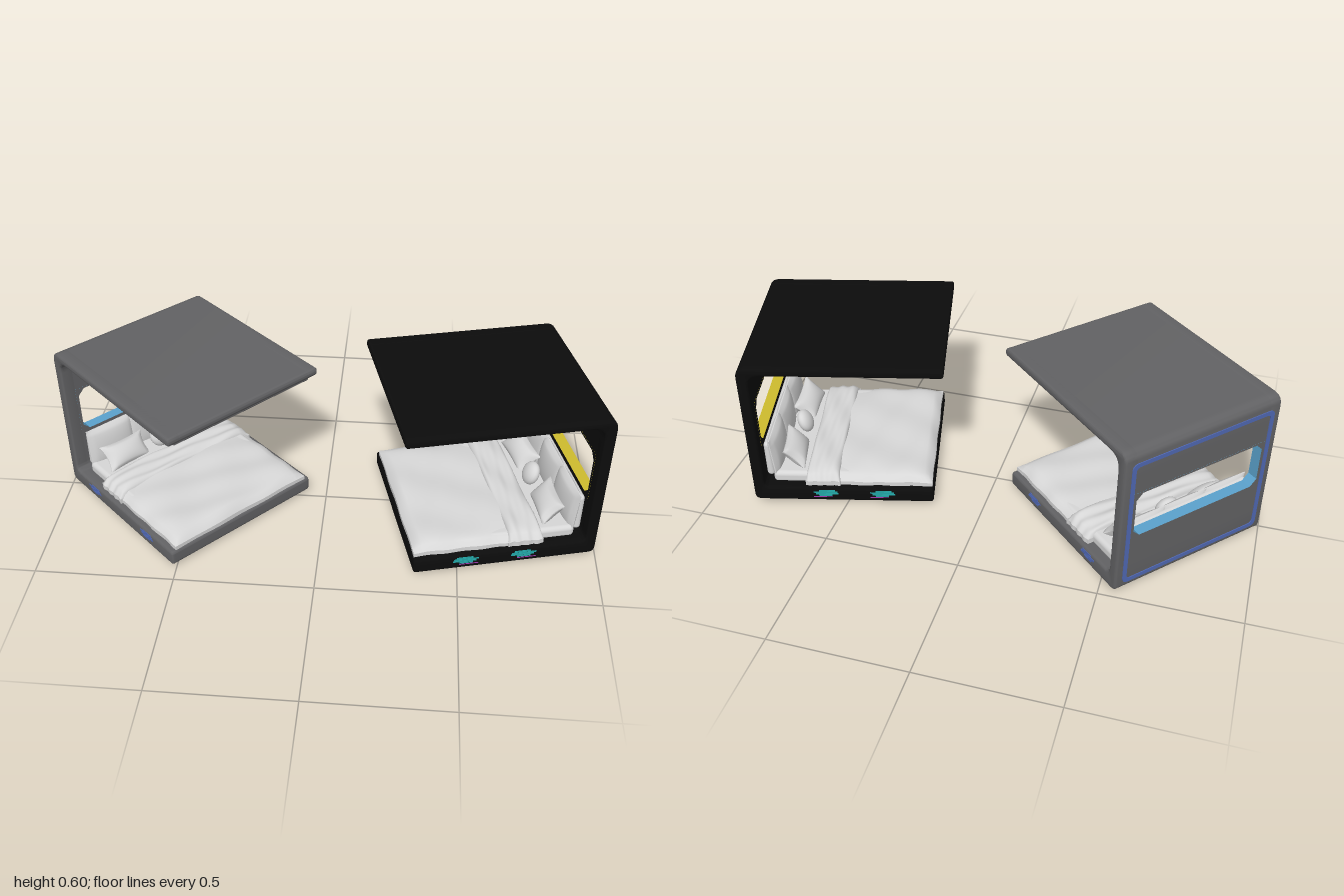
import * as THREE from 'three';
import { toCreasedNormals } from 'three/addons/utils/BufferGeometryUtils.js';
import { RoundedBoxGeometry } from 'three/addons/geometries/RoundedBoxGeometry.js';

const mat = (name, color) => {
  const m = new THREE.MeshStandardMaterial({ color });
  m.name = name;
  return m;
};

function add(group, name, geometry, material, x = 0, y = 0, z = 0) {
  const mesh = new THREE.Mesh(geometry, material);
  mesh.name = name;
  mesh.position.set(x, y, z);
  group.add(mesh);
  return mesh;
}

// polygon with corners rounded by the third value of each point
function roundedPoly(points, Type = THREE.Shape) {
  const s = new Type();
  points.forEach(([x, y, r = 0], i) => {
    const p = new THREE.Vector2(x, y);
    const prev = new THREE.Vector2(...points.at(i - 1));
    const next = new THREE.Vector2(...points[(i + 1) % points.length]);
    const a = p.clone().add(prev.sub(p).setLength(r));
    const b = p.clone().add(next.sub(p).setLength(r));
    if (i) s.lineTo(a.x, a.y); else s.moveTo(a.x, a.y);
    if (r) s.quadraticCurveTo(x, y, b.x, b.y);
  });
  s.closePath();
  return s;
}

const rect = (hw, y0, y1, r) => [[-hw, y0, r], [hw, y0, r], [hw, y1, r], [-hw, y1, r]];

// octagon: rectangle with cut corners
const octagon = (hw, y0, y1, c) => [
  [-hw + c, y0], [hw - c, y0], [hw, y0 + c], [hw, y1 - c],
  [hw - c, y1], [-hw + c, y1], [-hw, y1 - c], [-hw, y0 + c]];

// side profile (z, y) extruded across the width
function slab(points, width, bevel = 0) {
  const g = new THREE.ExtrudeGeometry(roundedPoly(points), {
    depth: width - 2 * bevel, curveSegments: 8, bevelEnabled: bevel > 0,
    bevelSize: bevel, bevelThickness: bevel, bevelOffset: -bevel, bevelSegments: 3 });
  g.translate(0, 0, -width / 2 + bevel).rotateY(-Math.PI / 2);
  return toCreasedNormals(g, 0.6);
}

// cushion: thick in the middle, pinched at the rim, with pointed corners
function cushion(w, h, t, pinch = 0.14) {
  const g = new THREE.BoxGeometry(2, 2, 2, 14, 14, 1);
  const p = g.attributes.position;
  for (let i = 0; i < p.count; i++) {
    const u = p.getX(i), v = p.getY(i);
    const thick = Math.pow(Math.max(0, (1 - u * u) * (1 - v * v)), 0.45);
    p.setXYZ(i, w / 2 * u * (1 - pinch * (1 - v * v)),
      h / 2 * v * (1 - pinch * (1 - u * u)), p.getZ(i) * (t / 2 * thick + 0.002));
  }
  g.computeVertexNormals();
  return g;
}

// cloth: soft slab with sagging rim and gentle ripples, bottom at y = 0
function cloth(w, d, h, ripple) {
  const g = new THREE.BoxGeometry(2, 1, 2, 32, 3, 28);
  const p = g.attributes.position;
  for (let i = 0; i < p.count; i++) {
    const u = p.getX(i), v = p.getZ(i), k = p.getY(i) + 0.5;
    const fall = 0.35 + 0.65 * Math.pow(Math.max(0, (1 - u ** 8) * (1 - v ** 8)), 0.5);
    const wave = ripple * (Math.sin(u * 7 + v * 3) + Math.sin(v * 8 - u * 4));
    const edge = 1 + ripple * 2 * Math.sin(u * 9 + v * 11);
    p.setXYZ(i, w / 2 * u * edge, k * (h * fall + wave * fall), d / 2 * v * edge);
  }
  g.computeVertexNormals();
  return g;
}

const W = 0.645, BACK = -0.363, INNER = -0.323, TIP = 0.363, FOOT = 0.31;
const SILL = 0.236, HEAD = 0.424, HALF = 0.269;

function createPod(name, c) {
  const pod = new THREE.Group();
  pod.name = name;

  // shell: full C profiles at both sides, base and roof between them
  const base = [[INNER, 0.07, 0.025], [FOOT, 0.07, 0.012], [FOOT, 0.012, 0.012], [BACK, 0.012, 0.025]];
  const roof = [[BACK, 0.6, 0.04], [TIP, 0.6, 0.012], [TIP, 0.57, 0.012], [INNER, 0.57, 0.05]];
  const sideW = W / 2 - HALF;
  for (const s of [-1, 1]) {
    add(pod, 'shellSide', slab([...base, ...roof], sideW, 0.008), c.body, s * (W / 2 - sideW / 2));
  }
  const mid = W - 0.024;
  const midWall = HALF * 2 + 0.02;
  add(pod, 'baseDeck', slab([...base, [BACK, 0.12], [INNER, 0.12]], mid), c.body);
  add(pod, 'roofPanel', slab([[BACK, 0.5], ...roof, [INNER, 0.5]], mid), c.body);
  for (const [y0, y1] of [[0.12, SILL], [HEAD, 0.5]]) {
    add(pod, 'backWall', new THREE.BoxGeometry(midWall, y1 - y0, INNER - BACK), c.body,
      0, (y0 + y1) / 2, (BACK + INNER) / 2);
  }

  // window lining with coloured reveal
  const lining = roundedPoly(rect(HALF + 0.008, SILL - 0.004, HEAD + 0.004, 0));
  lining.holes.push(roundedPoly(octagon(HALF - 0.003, SILL + 0.003, HEAD - 0.003, 0.025), THREE.Path));
  add(pod, 'windowLining', new THREE.ExtrudeGeometry(lining,
    { depth: INNER - BACK + 0.001, bevelEnabled: false }), [c.body, c.reveal], 0, 0, BACK - 0.0005);

  // inset plinth with glowing rim
  add(pod, 'plinth', new THREE.BoxGeometry(W - 0.05, 0.012, FOOT - BACK - 0.05),
    [c.strip, c.strip, c.body, c.body, c.strip, c.strip], 0, 0.006, (FOOT + BACK) / 2);

  // lamp bar below the roof edge
  add(pod, 'lampBar', new RoundedBoxGeometry(W - 0.06, 0.018, 0.055, 2, 0.005), c.body, 0, 0.564, 0.322);
  add(pod, 'lampStrip', new THREE.BoxGeometry(W - 0.08, 0.004, 0.04), c.lamp, 0, 0.554, 0.322);

  // striped lights on both sides of the base
  for (const s of [-1, 1]) for (const z of c.lights) {
    [0.05, 0.085, 0.09, 0.06].forEach((len, i) => add(pod, 'sideLight',
      new THREE.BoxGeometry(0.003, 0.006, len * c.lightScale), c.light,
      s * W / 2, 0.037 + i * 0.0075, z + (i % 2) * 0.006));
    if (c.accent) {
      add(pod, 'sideAccent', new THREE.BoxGeometry(0.003, 0.003, 0.07), c.accent, s * W / 2, 0.03, z - 0.01);
    }
  }

  // rectangular light frame on the rear
  if (c.rearFrame) {
    const frame = roundedPoly(rect(0.295, 0.04, 0.555, 0.025));
    frame.holes.push(roundedPoly(rect(0.279, 0.056, 0.539, 0.018), THREE.Path));
    add(pod, 'rearFrame', new THREE.ExtrudeGeometry(frame, { depth: 0.004, bevelEnabled: false }),
      c.strip, 0, 0, BACK - 0.003);
  }

  // bed
  const bed = new THREE.Group();
  bed.name = 'bed';
  pod.add(bed);
  add(bed, 'mattress', new RoundedBoxGeometry(0.56, 0.05, 0.57, 3, 0.018), c.linen, 0, 0.083, -0.01);
  add(bed, 'duvet', cloth(0.6, 0.44, 0.046, 0.003), c.linen, 0, 0.07, 0.085);
  add(bed, 'foldedBlanket', cloth(0.61, 0.13, 0.056, 0.003), c.linen, 0, 0.07, -0.105);
  add(bed, 'headboard', new RoundedBoxGeometry(0.54, 0.15, 0.03, 4, 0.014), c.linen, 0, 0.16, -0.305);
  for (let i = -1; i <= 1; i++) {
    const pad = add(bed, 'headboardPad', cushion(0.2, 0.17, 0.05, 0), c.linen, i * 0.175, 0.16, -0.29);
    pad.rotation.x = -0.08;
  }
  for (const s of [-1, 1]) {
    const pillow = add(bed, 'pillow', cushion(0.2, 0.11, 0.065), c.linen, s * 0.155, 0.135, -0.225);
    pillow.rotation.set(-0.75, s * -0.12, 0);
  }
  const round = add(bed, 'roundCushion', new THREE.SphereGeometry(0.045, 20, 14), c.linen, 0, 0.145, -0.215);
  round.scale.z = 0.6;
  round.rotation.x = -0.4;
  return pod;
}

export function createModel() {
  const model = new THREE.Group();
  model.name = 'sleepingPods';
  const linen = mat('linen', 0xd6d6d6);
  const teal = mat('tealLight', 0x22a5a5);
  const blue = mat('blueLight', 0x5068b4);
  const yellow = mat('yellowLight', 0xcdbb2e);

  const grey = createPod('greyPod', {
    body: mat('greyShell', 0x626264), reveal: mat('skyBlueReveal', 0x5ba2cc), strip: blue,
    lamp: teal, light: blue, lights: [-0.2, 0.145], lightScale: 0.85, rearFrame: true, linen });
  grey.position.set(-0.515, 0, -0.005);
  grey.rotation.y = 0.815;

  const black = createPod('blackPod', {
    body: mat('blackShell', 0x0c0c0c), reveal: yellow, strip: yellow, lamp: teal, light: teal,
    lights: [-0.095, 0.118], lightScale: 1, accent: mat('magentaLight', 0x9a35a8), linen });
  black.position.set(0.565, 0, 0.02);
  black.rotation.y = -1.319;

  model.add(grey, black);
  return model;
}
